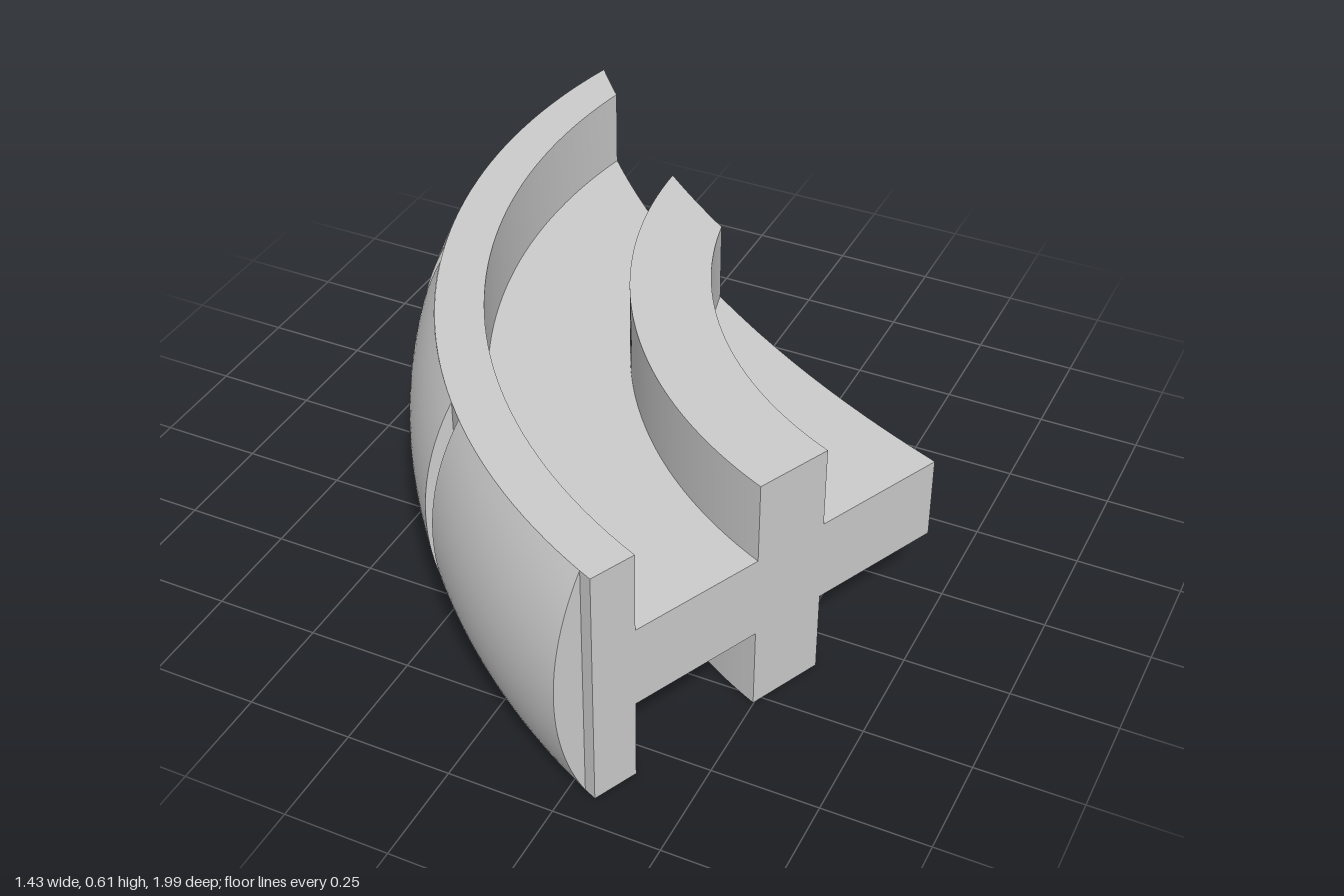
import * as THREE from 'three';
import { toCreasedNormals } from 'three/addons/utils/BufferGeometryUtils.js';

const H = 0.61, WEB_LOW = 0.205, WEB_HIGH = 0.41;
const O = new THREE.Vector2(0.985, -0.55);   // ring centre in plan (x, z)
const C = new THREE.Vector2(1.948, -2.975);  // centre of the concave back cut
const CUT_R = 3.259;
const END = THREE.MathUtils.degToRad(65.6);  // straight end face
const STEP = THREE.MathUtils.degToRad(22.1); // spacing of the tread gaps
const RIM = 1.625, CROWN = 1.70, HALF_GAP = 0.0325;

// Plan position at radius r and angle a around the ring centre
const polar = (r, a) => new THREE.Vector2(O.x - r * Math.cos(a), O.y + r * Math.sin(a));

// Angle at which a circle of radius r meets the concave back cut
function backAngle(r) {
  const d = C.clone().sub(O), D = d.length();
  const c = (r * r + D * D - CUT_R * CUT_R) / (2 * r * D);
  return Math.min(END, Math.atan2(d.y, -d.x) + Math.acos(THREE.MathUtils.clamp(c, -1, 1)));
}

// Curved slab between two radii and two heights
function band(name, r0, r1, y0, y1, material) {
  const pts = [], n = 48;
  const a0 = backAngle(r0), a1 = backAngle(r1);
  const lerp = THREE.MathUtils.lerp;
  for (let i = 0; i <= n; i++) pts.push(polar(r1, lerp(END, a1, i / n)));
  const from = polar(r1, a1).sub(C), to = polar(r0, a0).sub(C);
  const t0 = Math.atan2(from.y, from.x), t1 = Math.atan2(to.y, to.x);
  for (let i = 1; i < 24; i++) {
    const t = lerp(t0, t1, i / 24);
    pts.push(new THREE.Vector2(C.x + CUT_R * Math.cos(t), C.y + CUT_R * Math.sin(t)));
  }
  if (END - a0 < 0.01) pts.push(polar(r0, END));
  else for (let i = 0; i <= n; i++) pts.push(polar(r0, lerp(a0, END, i / n)));
  const shape = new THREE.Shape(pts.map(p => new THREE.Vector2(p.x, -p.y)));
  const geo = new THREE.ExtrudeGeometry(shape, { depth: y1 - y0, bevelEnabled: false });
  geo.rotateX(-Math.PI / 2).translate(0, y0, 0);
  const mesh = new THREE.Mesh(toCreasedNormals(geo, 0.4), material);
  mesh.name = name;
  return mesh;
}

// Barrel-shaped tread pad; start and end give the angle at each radius
function pad(name, start, end, material) {
  const rows = 24, cols = 24, pos = [], index = [], w = cols + 3;
  for (let i = 0; i <= rows; i++) {
    const y = H * i / rows;
    const r = Math.max(RIM, CROWN - 0.66 + Math.sqrt(0.66 ** 2 - (y - H / 2) ** 2));
    const ring = [polar(RIM, start(RIM))];
    for (let j = 0; j <= cols; j++) ring.push(polar(r, THREE.MathUtils.lerp(start(r), end(r), j / cols)));
    ring.push(polar(RIM, end(RIM)));
    ring.forEach(p => pos.push(p.x, y, p.y));
  }
  for (let i = 0; i < rows; i++) for (let j = 0; j < w - 1; j++) {
    const a = i * w + j, b = a + w;
    index.push(a, a + 1, b, a + 1, b + 1, b);
  }
  const geo = new THREE.BufferGeometry();
  geo.setAttribute('position', new THREE.Float32BufferAttribute(pos, 3));
  geo.setIndex(index);
  const mesh = new THREE.Mesh(toCreasedNormals(geo, 0.5), material);
  mesh.name = name;
  return mesh;
}

export function createModel() {
  const group = new THREE.Group();
  group.name = 'ringSegment';
  const grey = new THREE.MeshStandardMaterial({ color: 0xcccccc, side: THREE.DoubleSide });

  // Middle web with a rim and a ridge standing out above and below
  group.add(band('web', 0.651, RIM, WEB_LOW, WEB_HIGH, grey));
  for (const [side, y0, y1] of [['lower', 0, WEB_LOW], ['upper', WEB_HIGH, H]]) {
    group.add(band(side + 'Rim', 1.512, RIM, y0, y1, grey));
    group.add(band(side + 'Ridge', 0.989, 1.178, y0, y1, grey));
  }

  // Four tread pads separated by parallel-sided gaps
  for (let k = 0; k < 4; k++) {
    const gap = END - k * STEP;
    const end = r => gap - Math.asin(HALF_GAP / r);
    const start = k === 3 ? backAngle : r => gap - STEP + Math.asin(HALF_GAP / r);
    group.add(pad('treadPad' + (k + 1), start, end, grey));
  }
  return group;
}
